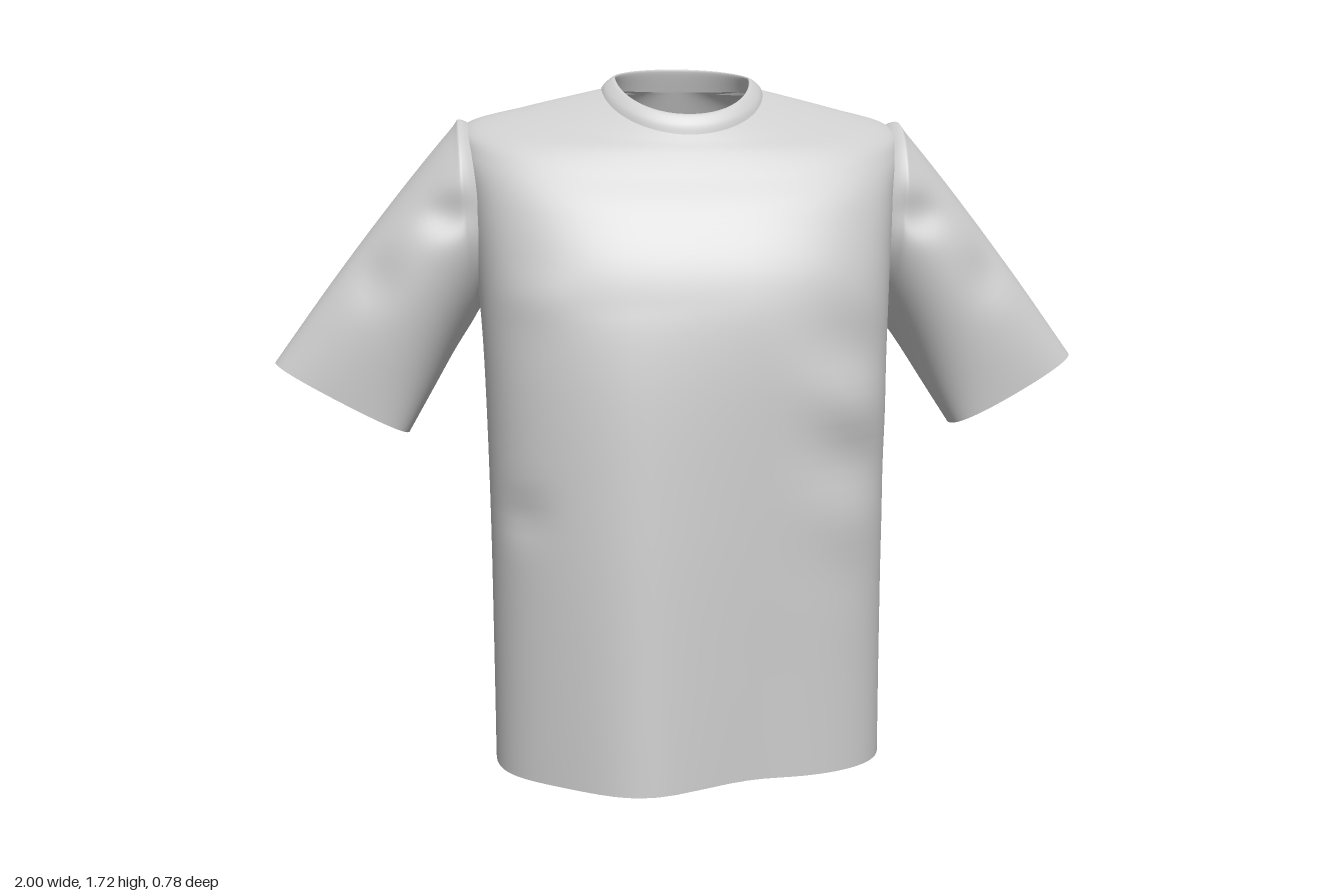
import * as THREE from 'three';

const SEGMENTS = 96;
const bump = (v, centre, width) => Math.exp(-(((v - centre) / width) ** 2));

// Smoothly interpolates a short table of cross-section parameters.
function resample(rows, steps) {
  const out = [];
  const last = rows.length - 1;
  for (let i = 0; i <= last * steps; i++) {
    const k = Math.min(Math.floor(i / steps), last - 1);
    const t = i / steps - k;
    const p1 = rows[k], p2 = rows[k + 1];
    const p0 = rows[Math.max(k - 1, 0)], p3 = rows[Math.min(k + 2, last)];
    out.push(p1.map((b, c) => {
      const a = p0[c], d = p2[c], e = p3[c];
      return b + 0.5 * t * (d - a + t * (2 * a - 5 * b + 4 * d - e + t * (3 * (b - d) + e - a)));
    }));
  }
  return out;
}

// Skins closed cross-sections with smooth shared normals.
function loft(rows, pointAt, flip = false) {
  const positions = [], index = [];
  rows.forEach((row, i) => {
    for (let j = 0; j < SEGMENTS; j++) {
      positions.push(...pointAt(row, (j / SEGMENTS) * Math.PI * 2));
      if (i === rows.length - 1) continue;
      const n = (j + 1) % SEGMENTS;
      const a = i * SEGMENTS + j, b = i * SEGMENTS + n;
      const c = a + SEGMENTS, d = b + SEGMENTS;
      if (flip) index.push(a, b, c, b, d, c);
      else index.push(a, c, b, b, c, d);
    }
  });
  const geometry = new THREE.BufferGeometry();
  geometry.setAttribute('position', new THREE.Float32BufferAttribute(positions, 3));
  geometry.setIndex(index);
  geometry.computeVertexNormals();
  return geometry;
}

// Row: front y, side y, back y, half width, front z, side z, back z,
// front squareness, back squareness.
function ringPoint([yf, ys, yb, w, zf, zs, zb, nf, nb], a) {
  const c = Math.cos(a), s = Math.sin(a);
  const power = 2 / (s > 0 ? nf : nb);
  const x = w * Math.sign(c) * Math.abs(c) ** power;
  const depth = Math.abs(s) ** power;
  const y = ys + ((s > 0 ? yf : yb) - ys) * Math.abs(s) ** 1.1;
  const z = zs + ((s > 0 ? zf : zb) - zs) * depth;
  return [x, y, z];
}

// Torso ring with the draped hem and the side folds.
function torsoPoint(row, a) {
  const [x, y, z] = ringPoint(row, a);
  const s = Math.sin(a);
  const drape = Math.max(0, 1 - y / 1.15);
  let dz = 0;
  if (s > 0) {
    dz += 0.085 * drape * bump(x, -0.15, 0.18) * s;
    dz -= 0.012 * drape * bump(x, 0.13, 0.1) * s;
    const fold = Math.sin((y - 0.55 + (x - 0.36) * 0.35) * 21);
    dz += 0.02 * fold * bump(x, 0.39, 0.12) * bump(y, 0.88, 0.27) * s;
    dz -= 0.025 * bump(x, -0.42, 0.06) * bump(y, 0.66, 0.05) * s;
    dz += 0.012 * bump(x, -0.4, 0.09) * bump(y, 1.17, 0.06) * s;
  } else {
    dz += 0.035 * drape * bump(x, -0.1, 0.2) * s;
  }
  return [x, y, z + dz];
}

// Row: top x, top y, bottom x, bottom y, front z, back z, skew.
function sleevePoint([tx, ty, bx, by, zf, zb, skew], a, side) {
  const c = Math.cos(a), s = Math.sin(a);
  const back = Math.max(0, -s) * skew;
  const x = (tx + bx) / 2 + (c * (tx - bx)) / 2 + back * 0.6;
  const y = (ty + by) / 2 + (c * (ty - by)) / 2 - back;
  let z = (zf + zb) / 2 + (s * (zf - zb)) / 2 + skew * (2 * c * c - c);
  // soft dents near the shoulder and on the outer arm
  if (s > 0) z -= 0.02 * s * bump(y, 1.36, 0.05) * bump(x, 0.58, 0.07);
  if (s > 0) z -= 0.018 * s * bump(y, 1.22, 0.07) * bump(x, 0.76, 0.06);
  return [x * side, y, z];
}

export function createModel() {
  const shirt = new THREE.Group();
  shirt.name = 'shirt';
  const fabric = new THREE.MeshStandardMaterial({ color: 0xcccccc, side: THREE.DoubleSide });
  fabric.name = 'light grey fabric';

  const add = (name, geometry) => {
    const mesh = new THREE.Mesh(geometry, fabric);
    mesh.name = name;
    shirt.add(mesh);
  };

  // Torso from hem to neckline
  const torso = resample([
    [0.03, 0.015, 0.003, 0.482, 0.312, 0, -0.358, 2.8, 2],
    [0.3, 0.3, 0.3, 0.483, 0.312, -0.01, -0.358, 2.8, 2.15],
    [0.65, 0.65, 0.65, 0.486, 0.312, -0.03, -0.36, 2.9, 2.5],
    [1.0, 1.0, 1.0, 0.495, 0.305, -0.06, -0.363, 3, 3.1],
    [1.2, 1.2, 1.2, 0.508, 0.277, -0.1, -0.358, 3, 3.9],
    [1.35, 1.39, 1.35, 0.525, 0.213, -0.12, -0.345, 3, 4.5],
    [1.445, 1.52, 1.46, 0.545, 0.152, -0.13, -0.32, 2.8, 4],
    [1.5, 1.582, 1.545, 0.525, 0.114, -0.13, -0.29, 2.5, 3],
    [1.53, 1.622, 1.61, 0.38, 0.09, -0.115, -0.265, 2.2, 2.3],
    [1.556, 1.664, 1.665, 0.197, 0.07, -0.09, -0.245, 2.1, 2],
  ], 10);
  add('torso', loft(torso, torsoPoint));

  // Collar band, rolled over at the top
  const collar = resample([
    [1.546, 1.65, 1.66, 0.204, 0.077, -0.09, -0.252, 2.1, 2],
    [1.57, 1.672, 1.69, 0.194, 0.072, -0.09, -0.242, 2.1, 2],
    [1.594, 1.69, 1.719, 0.172, 0.058, -0.09, -0.226, 2.1, 2],
    [1.592, 1.686, 1.714, 0.165, 0.05, -0.09, -0.22, 2.1, 2],
    [1.562, 1.652, 1.67, 0.178, 0.056, -0.09, -0.232, 2.1, 2],
  ], 5);
  add('collar', loft(collar, ringPoint));

  // Sleeves with a raised shoulder seam
  const sleeve = resample([
    [0.47, 1.54, 0.46, 1.17, 0.03, -0.29, 0],
    [0.54, 1.588, 0.5, 1.13, 0.058, -0.32, 0],
    [0.572, 1.56, 0.525, 1.09, 0.068, -0.324, 0],
    [0.7, 1.405, 0.57, 1.02, 0.066, -0.3, 0.004],
    [0.85, 1.21, 0.622, 0.93, 0.056, -0.26, 0.01],
    [1.0, 1.002, 0.68, 0.83, 0.042, -0.215, 0.018],
  ], 8);
  for (const [name, side] of [['leftSleeve', 1], ['rightSleeve', -1]]) {
    add(name, loft(sleeve, (row, a) => sleevePoint(row, a, side), side > 0));
  }

  return shirt;
}
